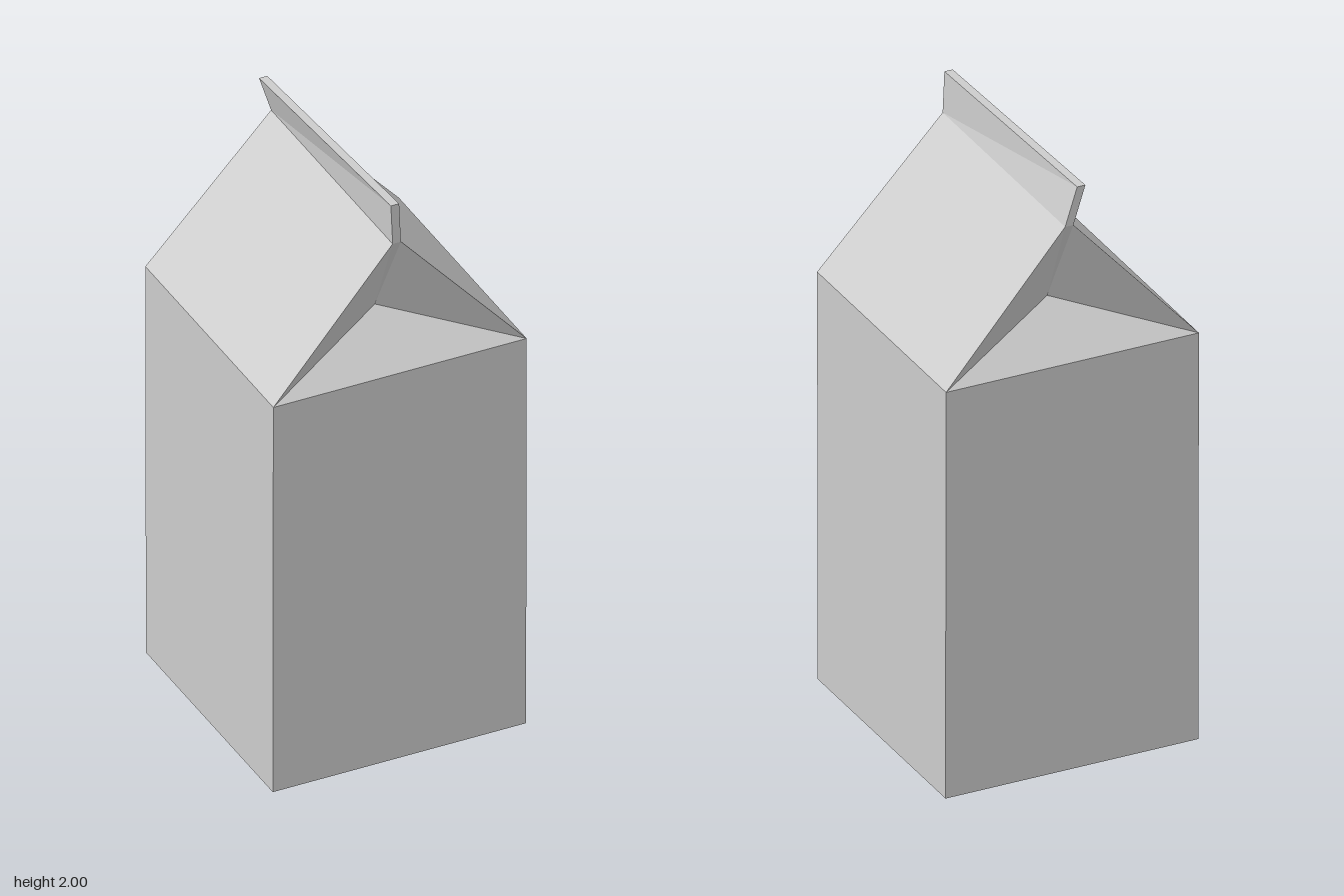
import * as THREE from 'three';

const material = new THREE.MeshStandardMaterial({ color: 0xcccccc, flatShading: true });
const W = 0.43, D = 0.437, SHOULDER = 1.4; // half width, half depth, top of the walls
const RIDGE = 1.86, RW = 0.014, RD = 0.415; // ridge height, half width, half depth

function addMesh(parent, name, geometry) {
  const flat = geometry.index ? geometry.toNonIndexed() : geometry;
  flat.computeVertexNormals();
  const mesh = new THREE.Mesh(flat, material);
  mesh.name = name;
  parent.add(mesh);
}

// Flat faces from convex polygons, corners counter-clockwise seen from outside
function faces(polygons) {
  const points = [];
  for (const p of polygons)
    for (let i = 1; i < p.length - 1; i++) points.push(...p[0], ...p[i], ...p[i + 1]);
  return new THREE.BufferGeometry().setAttribute('position', new THREE.Float32BufferAttribute(points, 3));
}

// Box whose corners are placed by a rule taking signs (sx, sy, sz)
function shapedBox(rule) {
  const geometry = new THREE.BoxGeometry(2, 2, 2);
  const p = geometry.attributes.position;
  for (let i = 0; i < p.count; i++) p.setXYZ(i, ...rule(p.getX(i), p.getY(i), p.getZ(i)));
  return geometry;
}

// One roof slope and the folded-in gable at its end
function roofHalf(name) {
  const half = new THREE.Group();
  half.name = name;
  const left = [-W, SHOULDER, D], right = [W, SHOULDER, D];
  const ridgeL = [-RW, RIDGE, RD], ridgeR = [RW, RIDGE, RD];
  const inner = [0, 1.55, 0.265];
  addMesh(half, 'roofSlope', faces([[right, [W, SHOULDER, -D], [RW, RIDGE, -RD], ridgeR]]));
  addMesh(half, 'gableShelf', faces([[left, right, inner]]));
  addMesh(half, 'gableFolds', faces([
    [right, ridgeR, inner],
    [inner, ridgeL, left],
    [inner, ridgeR, ridgeL],
  ]));
  return half;
}

export function createModel() {
  const carton = new THREE.Group();
  carton.name = 'carton';

  // Walls and base, slightly narrower at the foot, open under the roof
  const body = shapedBox((sx, sy, sz) => [sx * W, sy > 0 ? SHOULDER : 0, sz * (sy > 0 ? D : 0.433)]);
  body.setIndex(Array.from(body.index.array).filter((_, i) => i < 12 || i >= 18));
  addMesh(carton, 'body', body);

  // Two identical roof halves, turned back to back
  const front = roofHalf('frontRoof');
  const back = roofHalf('backRoof');
  back.rotation.y = Math.PI;
  carton.add(front, back);

  // Sealed top fin, bent over a little towards the back
  addMesh(carton, 'topFin', shapedBox((sx, sy, sz) => sy < 0
    ? [sx * RW, RIDGE, sz * RD]
    : [sx * RW + (sz > 0 ? -0.006 : -0.041), sz > 0 ? 2 : 1.988, sz * 0.415]));

  return carton;
}
